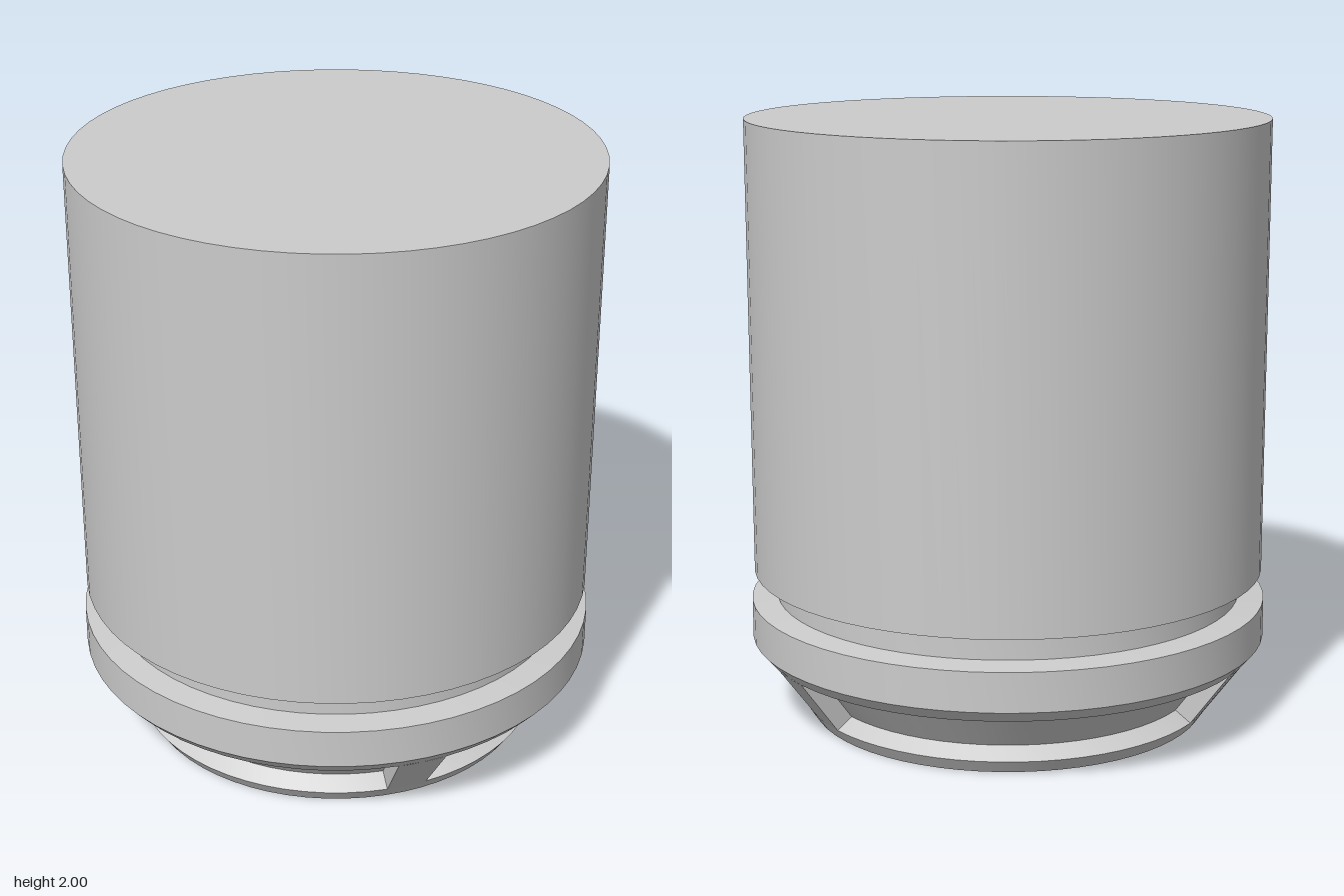
import * as THREE from 'three';
import { toCreasedNormals } from 'three/addons/utils/BufferGeometryUtils.js';

const SEGMENTS = 64;
const material = new THREE.MeshStandardMaterial({ color: 0xcccccc });
const capMaterial = new THREE.MeshStandardMaterial({ color: 0xcccccc, side: THREE.DoubleSide });

const toPoints = (list) => list.map(([r, y]) => new THREE.Vector2(r, y));

// Turned part with crisp edges between the profile's segments
function turned(name, profile, segments = SEGMENTS, start = 0, length = Math.PI * 2) {
  const lathe = new THREE.LatheGeometry(toPoints(profile), segments, start, length);
  const mesh = new THREE.Mesh(toCreasedNormals(lathe, 0.2), material);
  mesh.name = name;
  return mesh;
}

// Sloping rib bridging the recess, between two angles measured from +x towards +z
function rib(from, to) {
  const group = new THREE.Group();
  group.name = 'rib';
  const section = [[0.695, 0.045], [0.83, 0.23], [0.75, 0.23], [0.64, 0.08]];
  group.add(turned('ribFace', section.slice(0, 2), 4, Math.PI / 2 - to, to - from));
  for (const angle of [from, to]) {
    const side = new THREE.Mesh(new THREE.ShapeGeometry(new THREE.Shape(toPoints(section))), capMaterial);
    side.name = 'ribSide';
    side.rotation.y = -angle;
    group.add(side);
  }
  return group;
}

export function createModel() {
  const model = new THREE.Group();
  model.name = 'canister';

  // Foot ring with a shallow tapered pocket underneath
  model.add(turned('footRing', [
    [0, 0.06], [0.42, 0.06], [0.465, 0], [0.665, 0], [0.695, 0.045], [0.64, 0.08],
  ]));

  // Conical wall behind the ribs
  model.add(turned('recessWall', [[0.64, 0.08], [0.75, 0.23]]));

  // Chamfered collar
  model.add(turned('collar', [
    [0.75, 0.23], [0.83, 0.23], [0.865, 0.27], [0.865, 0.4], [0.78, 0.41],
  ]));

  // Groove between collar and body
  model.add(turned('groove', [[0.78, 0.41], [0.78, 0.485]]));

  // Main cylinder
  model.add(turned('body', [[0.78, 0.485], [0.855, 0.5], [0.855, 2], [0, 2]]));

  // Three ribs, placed on steps of 1/32 turn
  const step = Math.PI / 16;
  for (const i of [9, 20, 31]) model.add(rib(i * step, (i + 1) * step));

  return model;
}
